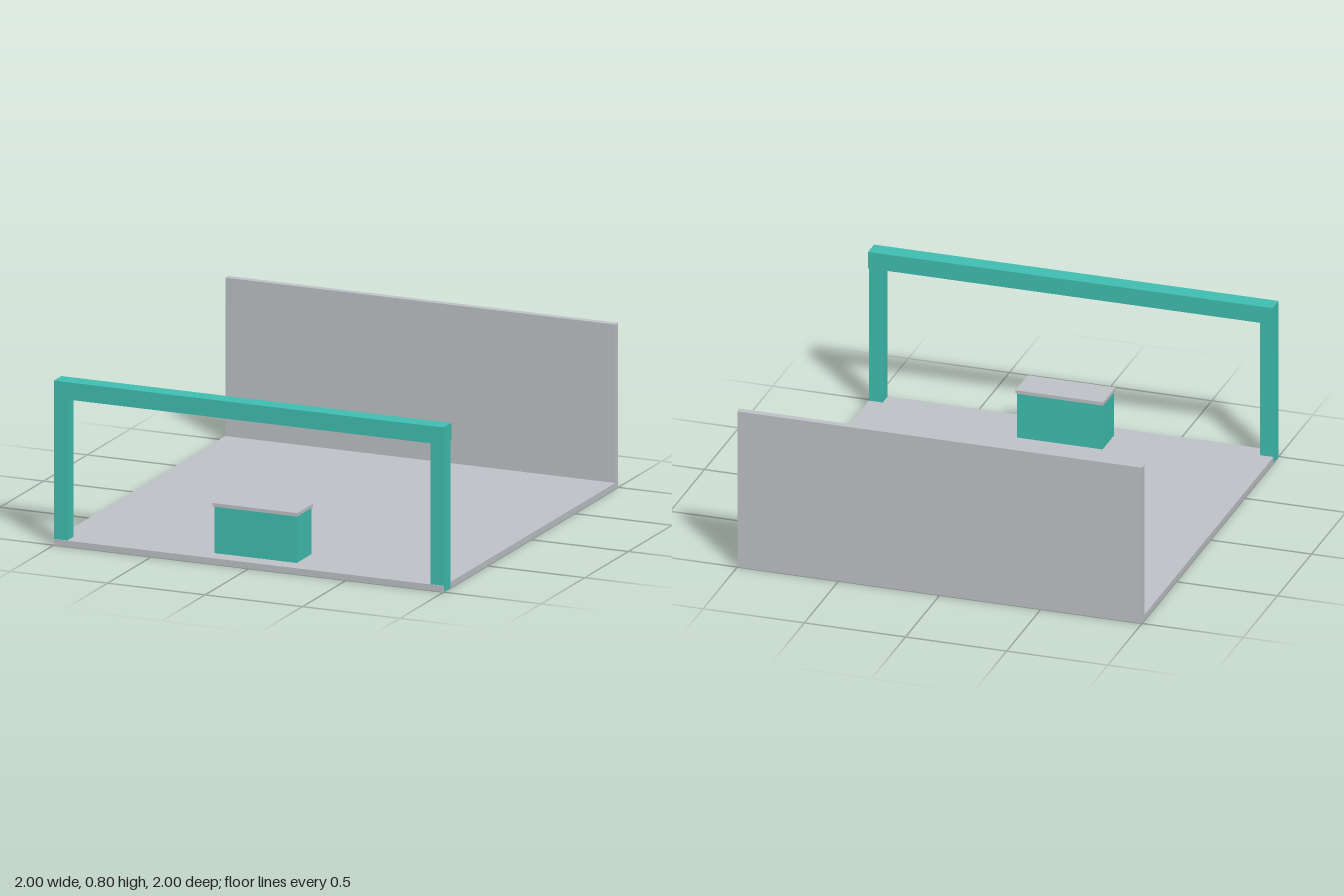
import * as THREE from 'three';

export function createModel() {
  const model = new THREE.Group();
  model.name = 'marketStall';

  const grey = new THREE.MeshStandardMaterial({ color: 0xc0c3c8 });
  grey.name = 'light grey';
  const teal = new THREE.MeshStandardMaterial({ color: 0x40c0b2 });
  teal.name = 'teal';

  // Box given by its extents along each axis
  function box(name, material, [x0, x1], [y0, y1], [z0, z1], parent = model) {
    const mesh = new THREE.Mesh(new THREE.BoxGeometry(x1 - x0, y1 - y0, z1 - z0), material);
    mesh.position.set((x0 + x1) / 2, (y0 + y1) / 2, (z0 + z1) / 2);
    mesh.name = name;
    parent.add(mesh);
  }

  // Floor slab and back wall
  box('floor', grey, [-1, 1], [0, 0.03], [-1, 1]);
  box('backWall', grey, [-1, 1], [0.03, 0.8], [-1, -0.966]);

  // Front gateway: the posts run down through the slab, flush with its sides
  const gateway = new THREE.Group();
  gateway.name = 'gateway';
  model.add(gateway);
  box('leftPost', teal, [0.932, 1.0005], [0.001, 0.716], [0.925, 0.997], gateway);
  box('rightPost', teal, [-1.0005, -0.932], [0.001, 0.716], [0.925, 0.997], gateway);
  box('beam', teal, [-1, 1], [0.716, 0.8], [0.912, 1], gateway);

  // Counter with a slightly overhanging top
  const counter = new THREE.Group();
  counter.name = 'counter';
  model.add(counter);
  box('counterBody', teal, [-0.214, 0.209], [0.03, 0.258], [0.75, 0.915], counter);
  box('counterTop', grey, [-0.219, 0.214], [0.258, 0.275], [0.744, 0.924], counter);

  return model;
}
